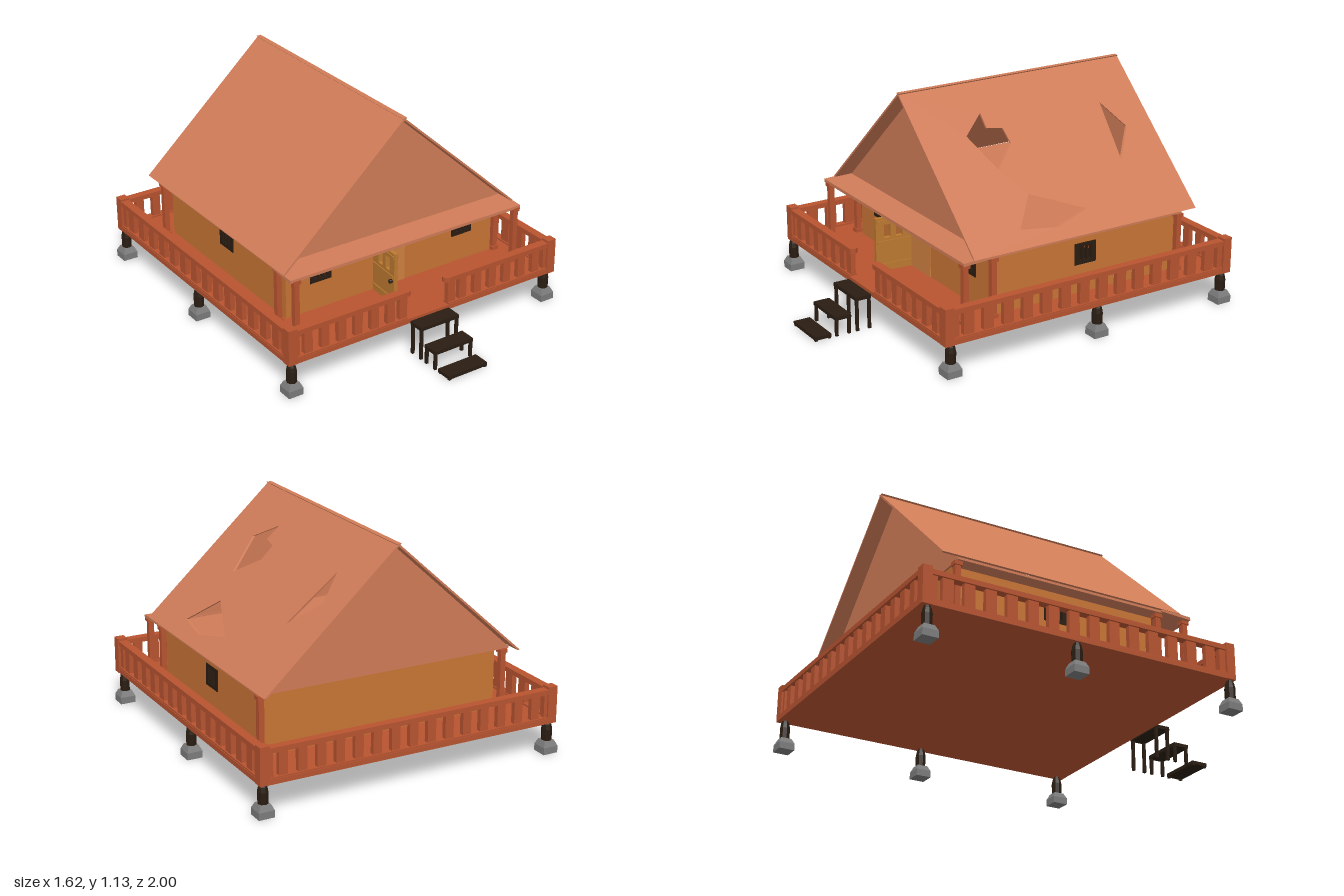
import * as THREE from 'three';

const mat = (color) => new THREE.MeshStandardMaterial({ color, flatShading: true, side: THREE.DoubleSide });
const RED = mat(0xb85430), ROOF = mat(0xd07c58), WALL = mat(0xc97535), PANEL = mat(0xd08040);
const DOOR = mat(0xbd7a30), DARK = mat(0x2a1d12), STONE = mat(0x7c7c7c);

export function createModel() {
  const house = new THREE.Group();
  house.name = 'stiltHouse';

  const add = (name, geo, m, parent = house) => {
    const mesh = new THREE.Mesh(geo, m);
    mesh.name = name;
    parent.add(mesh);
    return mesh;
  };
  // Box given by its minimum and maximum corners
  const box = (name, m, x0, x1, y0, y1, z0, z1, parent = house) => {
    const b = add(name, new THREE.BoxGeometry(x1 - x0, y1 - y0, z1 - z0), m, parent);
    b.position.set((x0 + x1) / 2, (y0 + y1) / 2, (z0 + z1) / 2);
    return b;
  };
  const group = (name) => {
    const g = new THREE.Group();
    g.name = name;
    house.add(g);
    return g;
  };
  const outline = (pts) => pts.map(([x, y]) => new THREE.Vector2(x, y));
  const rect = (a, b, c, d) => [[a, c], [b, c], [b, d], [a, d]];
  // Flat plate with cut-outs, in the xy plane
  const plate = (pts, holes, depth) => {
    const s = new THREE.Shape(outline(pts));
    holes.forEach((h) => s.holes.push(new THREE.Path(outline(h))));
    return new THREE.ExtrudeGeometry(s, { depth, bevelEnabled: false });
  };

  // Deck
  box('deck', RED, -0.795, 0.8, 0.16, 0.185, -0.995, 0.68);

  // Railings: a run from a to b, along x at a given z or along z at a given x
  const railing = (name, alongX, a, b, at, pitch, width) => {
    const g = group(name);
    const bar = (part, p0, p1, y0, y1, half) => alongX
      ? box(part, RED, p0, p1, y0, y1, at - half, at + half, g)
      : box(part, RED, at - half, at + half, y0, y1, p0, p1, g);
    bar('topRail', a, b, 0.31, 0.335, 0.022);
    bar('bottomRail', a, b, 0.16, 0.193, 0.02);
    const n = Math.round((b - a) / pitch), step = (b - a) / n;
    for (let i = 0; i <= n; i++) {
      const c = THREE.MathUtils.clamp(a + i * step, a + width / 2, b - width / 2);
      bar('baluster', c - width / 2, c + width / 2, 0.18, 0.32, 0.013);
    }
  };
  railing('frontRailingRight', true, -0.775, -0.115, 0.658, 0.095, 0.045);
  railing('frontRailingLeft', true, 0.13, 0.778, 0.658, 0.095, 0.045);
  railing('backRailing', true, -0.775, 0.778, -0.972, 0.095, 0.045);
  railing('rightRailing', false, -0.97, 0.655, -0.772, 0.112, 0.055);
  railing('leftRailing', false, -0.97, 0.655, 0.777, 0.112, 0.055);
  for (const x of [-0.773, 0.778]) for (const z of [-0.97, 0.658])
    box('railingPost', RED, x - 0.025, x + 0.025, 0.16, 0.347, z - 0.024, z + 0.024);
  // Rounded ends of the handrail beside the steps
  for (const x of [-0.115, 0.13]) {
    const end = add('handrailEnd', new THREE.CylinderGeometry(0.022, 0.022, 0.025, 12), RED);
    end.position.set(x, 0.3225, 0.658);
  }

  // Stilts on stone feet
  const stiltProfile = outline([[0, 0.05], [0.026, 0.05], [0.027, 0.12], [0.022, 0.145], [0.014, 0.162], [0, 0.165]]);
  const stilt = (x, z) => {
    const g = group('stilt');
    g.position.set(x, 0, z);
    add('post', new THREE.LatheGeometry(stiltProfile, 8), DARK, g);
    box('footBase', STONE, -0.04, 0.04, 0, 0.035, -0.04, 0.04, g);
    const top = new THREE.CylinderGeometry(0.027 * Math.SQRT2, 0.04 * Math.SQRT2, 0.028, 4).rotateY(Math.PI / 4);
    add('footTop', top, STONE, g).position.y = 0.049;
  };
  [[-0.772, 0.662], [0.772, 0.637]].forEach(([x, z]) => stilt(x, z));
  for (const x of [-0.772, 0.772]) for (const z of [-0.193, -0.957]) stilt(x, z);

  // Three free-standing steps
  [[0.69, 0.775, 0.178], [0.802, 0.888, 0.102], [0.912, 1.0, 0.024]].forEach(([z0, z1, top]) => {
    const g = group('step');
    box('tread', DARK, -0.107, 0.122, top - 0.018, top, z0, z1, g);
    for (const x of [-0.105, 0.106]) for (const z of [z0 + 0.002, z1 - 0.016])
      box('stepLeg', DARK, x, x + 0.014, 0, top - 0.01, z, z + 0.014, g);
  });

  // Walls with window openings
  const frontWindows = [rect(-0.455, -0.335, 0.335, 0.442), rect(0.402, 0.522, 0.335, 0.442)];
  const sideWindow = [rect(0.138, 0.256, 0.335, 0.442)];
  add('frontWall', plate(rect(-0.595, 0.655, 0.18, 0.492), frontWindows, 0.015), WALL).position.z = 0.328;
  add('backWall', plate(rect(-0.595, 0.655, 0.18, 0.492), [], 0.015), WALL).position.z = -0.745;
  for (const x of [-0.595, 0.64]) {
    const side = plate(rect(-0.343, 0.745, 0.18, 0.492), sideWindow, 0.015).rotateY(Math.PI / 2);
    add('sideWall', side, WALL).position.x = x;
  }

  // Barred windows: frame with three openings
  const bars = [-0.027, 0, 0.027].map((c) => rect(c - 0.009, c + 0.009, -0.036, 0.04));
  const windowGeo = plate(rect(-0.062, 0.062, -0.055, 0.055), bars, 0.024).translate(0, 0, -0.012);
  [[-0.395, 0.336, 0], [0.462, 0.336, 0], [-0.588, -0.197, 1], [0.648, -0.197, 1]].forEach(([x, z, turned]) => {
    const w = add('barredWindow', windowGeo, DARK);
    w.position.set(x, 0.388, z);
    w.rotation.y = turned * Math.PI / 2;
  });

  // Doorway and open door
  box('doorway', PANEL, -0.08, 0.106, 0.185, 0.445, 0.335, 0.347);
  const door = group('openDoor');
  door.position.set(-0.078, 0, 0.35);
  door.rotation.y = -0.07;
  const doorHoles = [rect(-0.085, -0.05, 0.365, 0.435), rect(-0.15, -0.115, 0.365, 0.435)];
  add('doorLeaf', plate(rect(-0.195, 0, 0.19, 0.472), doorHoles, 0.02).rotateY(Math.PI / 2), DOOR, door).position.x = -0.01;
  for (const y of [0.215, 0.335, 0.445]) box('doorBrace', DOOR, -0.015, 0.015, y, y + 0.015, 0.005, 0.19, door);
  add('doorKnob', new THREE.SphereGeometry(0.012, 8, 6), DARK, door).position.set(-0.018, 0.32, 0.175);

  // Columns
  for (const x of [-0.64, 0.675]) for (const z of [0.5, 0.345, -0.745]) {
    box('column', RED, x - 0.014, x + 0.014, 0.18, 0.49, z - 0.014, z + 0.014);
    box('columnCapital', RED, x - 0.02, x + 0.02, 0.468, 0.488, z - 0.02, z + 0.02);
    box('columnBase', RED, x - 0.02, x + 0.02, 0.18, 0.205, z - 0.02, z + 0.02);
  }

  // Roof slopes: drawn in side elevation (z, y), then leaned toward the ridge
  const EAVE = 0.503, RIDGE = 1.13, MID = 0.01, HALF = 0.69;
  const slope = (s, pts, holes) => {
    const geo = plate(pts, holes, 0.014), p = geo.attributes.position;
    for (let i = 0; i < p.count; i++) {
      const u = p.getX(i), y = p.getY(i), w = p.getZ(i);
      const x = MID + s * (HALF * (RIDGE - y) / (RIDGE - EAVE) - w);
      p.setXYZ(i, x, y, s * u);
    }
    geo.computeVertexNormals();
    return geo;
  };
  const damage = [
    [[0.21, 0.93], [0.08, 1.005], [0.085, 0.945], [0, 0.935], [-0.005, 0.875], [0.125, 0.79]],
    [[-0.6, 0.96], [-0.685, 0.85], [-0.56, 0.735]],
    [[0.16, 0.57], [0.03, 0.685], [-0.24, 0.59], [-0.04, 0.55]],
  ];
  add('leftRoofSlope', slope(1, rect(-0.838, 0.46, EAVE, RIDGE), damage), ROOF);
  add('rightRoofSlope', slope(-1, rect(-0.46, 0.838, EAVE, RIDGE), []), ROOF);

  // Gables and ceiling
  const gable = [[MID - HALF + 0.012, EAVE - 0.005], [MID + HALF - 0.012, EAVE - 0.005], [MID, RIDGE - 0.012]];
  for (const z of [-0.755, 0.355]) add('gable', plate(gable, [], 0.01), ROOF).position.z = z;
  box('ceiling', ROOF, -0.67, 0.69, 0.488, 0.5, -0.755, 0.36);

  // Sloping porch roof along the front
  const porch = plate([[-0.35, 0.492], [-0.35, 0.506], [-0.517, 0.5], [-0.517, 0.484]], [], 1.376);
  add('porchRoof', porch.rotateY(Math.PI / 2), ROOF).position.x = -0.678;

  return house;
}
